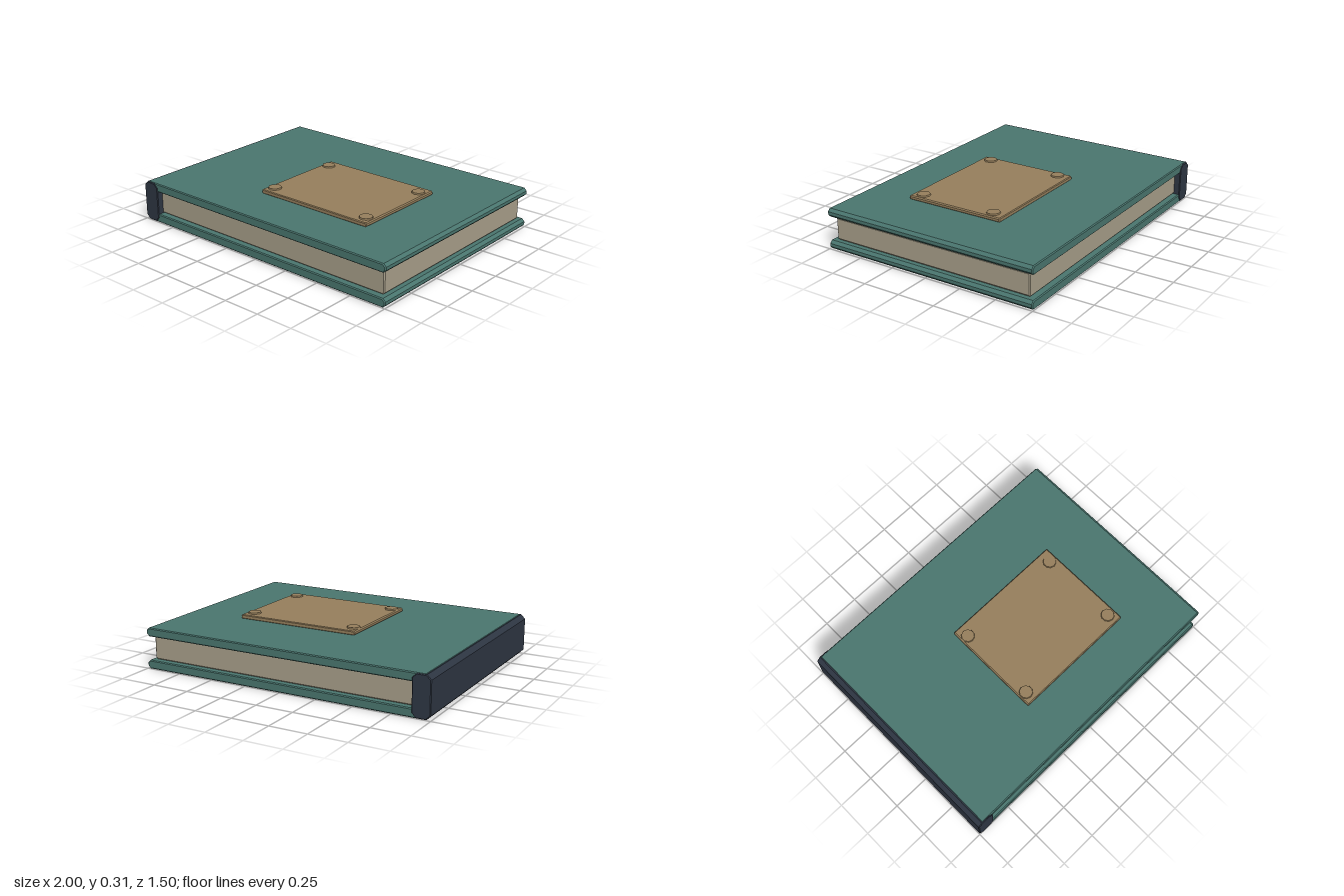
import * as THREE from 'three';

const mat = (name, color) => {
  const m = new THREE.MeshStandardMaterial({ color });
  m.name = name;
  return m;
};

// Bar along z with a chamfered x/y section and small bevelled ends.
function chamferedBar(x0, x1, y0, y1, z0, z1, chamfer, bevel) {
  const c = chamfer;
  const shape = new THREE.Shape([
    [x0 + c, y0], [x1 - c, y0], [x1, y0 + c], [x1, y1 - c],
    [x1 - c, y1], [x0 + c, y1], [x0, y1 - c], [x0, y0 + c],
  ].map(([x, y]) => new THREE.Vector2(x, y)));
  const geo = new THREE.ExtrudeGeometry(shape, {
    depth: z1 - z0 - 2 * bevel,
    bevelEnabled: true, bevelSegments: 1,
    bevelSize: bevel, bevelThickness: bevel, bevelOffset: -bevel,
  });
  return geo.translate(0, 0, z0 + bevel);
}

export function createModel() {
  const book = new THREE.Group();
  book.name = 'book';
  const teal = mat('teal cover', 0x4a766f);
  const navy = mat('dark spine', 0x2e3643);
  const paper = mat('aged paper', 0xa89f8a);
  const brass = mat('dull brass', 0x967f5c);

  const add = (name, geometry, material) => {
    const mesh = new THREE.Mesh(geometry, material);
    mesh.name = name;
    book.add(mesh);
    return mesh;
  };

  // Covers, spine and page block
  add('bottomCover', chamferedBar(-0.98, 1, 0, 0.057, -0.748, 0.748, 0.018, 0.006), teal);
  add('topCover', chamferedBar(-0.98, 1, 0.215, 0.272, -0.748, 0.748, 0.018, 0.006), teal);
  add('spine', chamferedBar(-1, -0.88, 0.002, 0.27, -0.752, 0.752, 0.028, 0.005), navy);
  add('pages', chamferedBar(-0.92, 0.965, 0.058, 0.214, -0.71, 0.71, 0.012, 0.007), paper);

  // Plate on the top cover, with a stud at each corner
  add('coverPlate', chamferedBar(-0.25, 0.6, 0.27, 0.298, -0.26, 0.42, 0.007, 0.005), brass);
  for (const x of [-0.2, 0.545]) {
    for (const z of [-0.18, 0.35]) {
      const stud = add('stud', new THREE.CylinderGeometry(0.042, 0.046, 0.014, 10), brass);
      stud.position.set(x, 0.3, z);
    }
  }
  return book;
}
